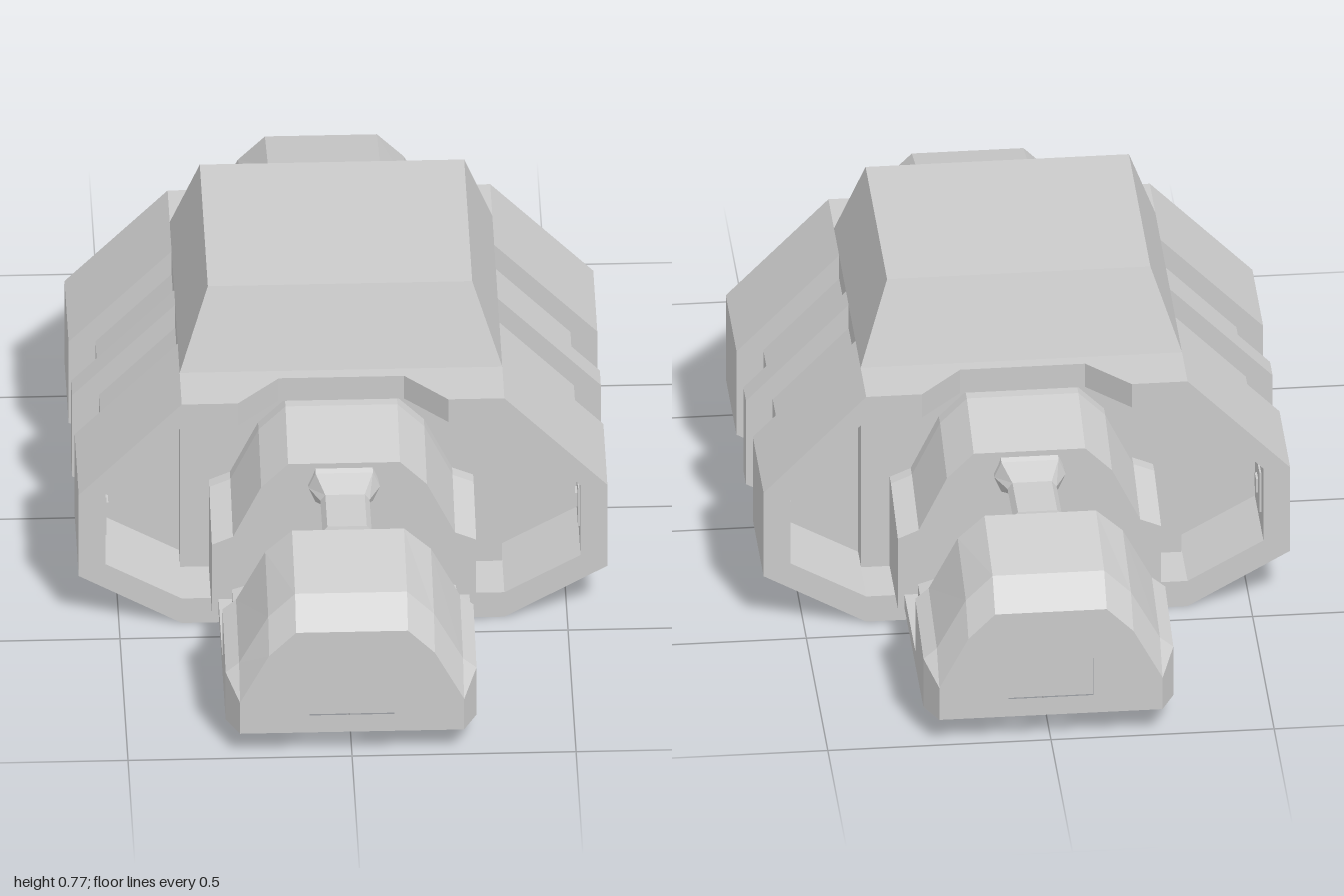
import * as THREE from 'three';

const material = new THREE.MeshStandardMaterial({ color: 0xcccccc, flatShading: true, side: THREE.DoubleSide });

function add(parent, name, geometry, x = 0, y = 0, z = 0) {
  const mesh = new THREE.Mesh(geometry, material);
  mesh.name = name;
  mesh.position.set(x, y, z);
  parent.add(mesh);
  return mesh;
}

// Right half of a section (top to bottom) becomes a full symmetric ring
const mirror = (half) => [...half, ...half.slice().reverse().map(([x, y]) => [-x, y])];
const toShape = (points) => new THREE.Shape(points.map(([x, y]) => new THREE.Vector2(x, y)));

function extrude(points, z0, z1) {
  return new THREE.ExtrudeGeometry(toShape(points), { depth: z1 - z0, bevelEnabled: false }).translate(0, 0, z0);
}

// Skin over symmetric sections [z, half]; openBottom leaves the underside out
function loft(sections, { openBottom = false, startCap = true, endCap = true } = {}) {
  const rings = sections.map(([z, half]) => mirror(half).map(([x, y]) => [x, y, z]));
  const n = rings[0].length;
  const out = [];
  for (let i = 0; i < rings.length - 1; i++) {
    for (let j = 0; j < n; j++) {
      if (openBottom && j === n / 2 - 1) continue;
      const k = (j + 1) % n;
      const [a, b, c, d] = [rings[i][j], rings[i][k], rings[i + 1][k], rings[i + 1][j]];
      out.push(...a, ...d, ...c, ...a, ...c, ...b);
    }
  }
  const cap = (ring, flip) => {
    const flat = ring.map(([x, y]) => new THREE.Vector2(x, y));
    for (const [a, b, c] of THREE.ShapeUtils.triangulateShape(flat, [])) {
      const p = [flat[a], flat[b], flat[c]];
      const ccw = p[1].clone().sub(p[0]).cross(p[2].clone().sub(p[0])) > 0;
      const order = ccw === flip ? [a, c, b] : [a, b, c];
      order.forEach((q) => out.push(...ring[q]));
    }
  };
  if (startCap) cap(rings[0], true);
  if (endCap) cap(rings[rings.length - 1], false);
  const geometry = new THREE.BufferGeometry();
  geometry.setAttribute('position', new THREE.Float32BufferAttribute(out, 3));
  geometry.computeVertexNormals();
  return geometry;
}

const outer = [[0.36, 0.58], [0.59, 0.345], [0.59, 0.13], [0.36, 0]];
const inner = [[0.36, 0.52], [0.53, 0.345], [0.53, 0.16], [0.36, 0.065]];
// U-shaped band between both profiles, open where the top plate sits
const band = [...mirror(outer), ...mirror(inner).reverse()];

function buildEnd() {
  const end = new THREE.Group();

  // Hollow outer band with small fittings on its inner walls
  add(end, 'endBand', extrude(band, 0.19, 0.44));
  for (const s of [-1, 1]) {
    add(end, 'wallPanel', new THREE.BoxGeometry(0.006, 0.1, 0.09), s * 0.529, 0.255, 0.345);
    add(end, 'wallHandle', new THREE.BoxGeometry(0.012, 0.035, 0.03), s * 0.527, 0.255, 0.345);
  }

  // Sloping arched collar coming out of the core
  const collar = (d) => [[0.125, 0.455 + d], [0.185, 0.395 + d], [0.248, 0.265 + d], [0.295, 0.245 + d], [0.295, 0.065]];
  add(end, 'collar', loft([[0.3, collar(0.05)], [0.34, collar(0.05)], [0.5, collar(0)]]));

  // Low deck joining collar and pod
  add(end, 'deck', extrude(mirror([[0.125, 0.165], [0.25, 0.125], [0.25, 0.1], [0.28, 0.1], [0.28, 0.065]]), 0.49, 0.76));

  // Coupling bar with flared ends
  const bar = (w, y0, y1) => [[w * 0.8, y1], [w, (y0 + y1) / 2], [w * 0.8, y0]];
  add(end, 'couplingBar', loft([
    [0.48, bar(0.08, 0.355, 0.455)], [0.51, bar(0.08, 0.36, 0.435)], [0.56, bar(0.055, 0.38, 0.41)],
    [0.69, bar(0.055, 0.38, 0.41)], [0.74, bar(0.08, 0.355, 0.42)], [0.76, bar(0.08, 0.35, 0.43)],
  ]));

  // Pod shell, open underneath
  const nose = [[0.125, 0.33], [0.185, 0.27], [0.25, 0.147], [0.25, 0.145], [0.25, 0.065]];
  add(end, 'podShell', loft([
    [0.75, [[0.125, 0.44], [0.185, 0.385], [0.25, 0.26], [0.28, 0.235], [0.28, 0.065]]],
    [0.94, [[0.125, 0.395], [0.185, 0.335], [0.25, 0.215], [0.28, 0.19], [0.28, 0.065]]],
    [1, nose],
  ], { openBottom: true, endCap: false }));

  // Nose plate with a square recessed panel
  const plate = toShape(mirror(nose).reverse());
  plate.holes.push(new THREE.Path([[-0.095, 0.11], [-0.095, 0.3], [0.095, 0.3], [0.095, 0.11]].map(([x, y]) => new THREE.Vector2(x, y))));
  add(end, 'nosePlate', new THREE.ShapeGeometry(plate), 0, 0, 1);
  add(end, 'nosePanel', new THREE.BoxGeometry(0.19, 0.19, 0.02), 0, 0.205, 0.985);
  return end;
}

export function createModel() {
  const model = new THREE.Group();
  model.name = 'model';

  // Central hull: grooved core, end block and middle rib
  add(model, 'hullCore', extrude(mirror(inner), -0.24, 0.24));
  add(model, 'coreBlock', new THREE.BoxGeometry(0.718, 0.455, 0.62), 0, 0.2925, 0);
  add(model, 'middleRib', extrude(band, -0.03, 0.03));

  // Top plate with a tapered notch at each end
  const notch = [[0.36, 0.44], [0.235, 0.44], [0.14, 0.34]];
  const half = [...notch, ...notch.slice().reverse().map(([x, z]) => [-x, z])];
  const plate = [...half, ...half.map(([x, z]) => [-x, -z])];
  add(model, 'topPlate', extrude(plate, 0.52, 0.58).rotateX(-Math.PI / 2));

  // Tapered roof block
  add(model, 'roof', loft([
    [0.58, [[0.36, 0.31], [0.36, -0.31]]],
    [0.77, [[0.295, 0.25], [0.295, -0.25]]],
  ]).rotateX(-Math.PI / 2));

  // Identical assemblies at both ends
  ['frontEnd', 'backEnd'].forEach((name, i) => {
    const end = buildEnd();
    end.name = name;
    end.rotation.y = i * Math.PI;
    model.add(end);
  });
  return model;
}
